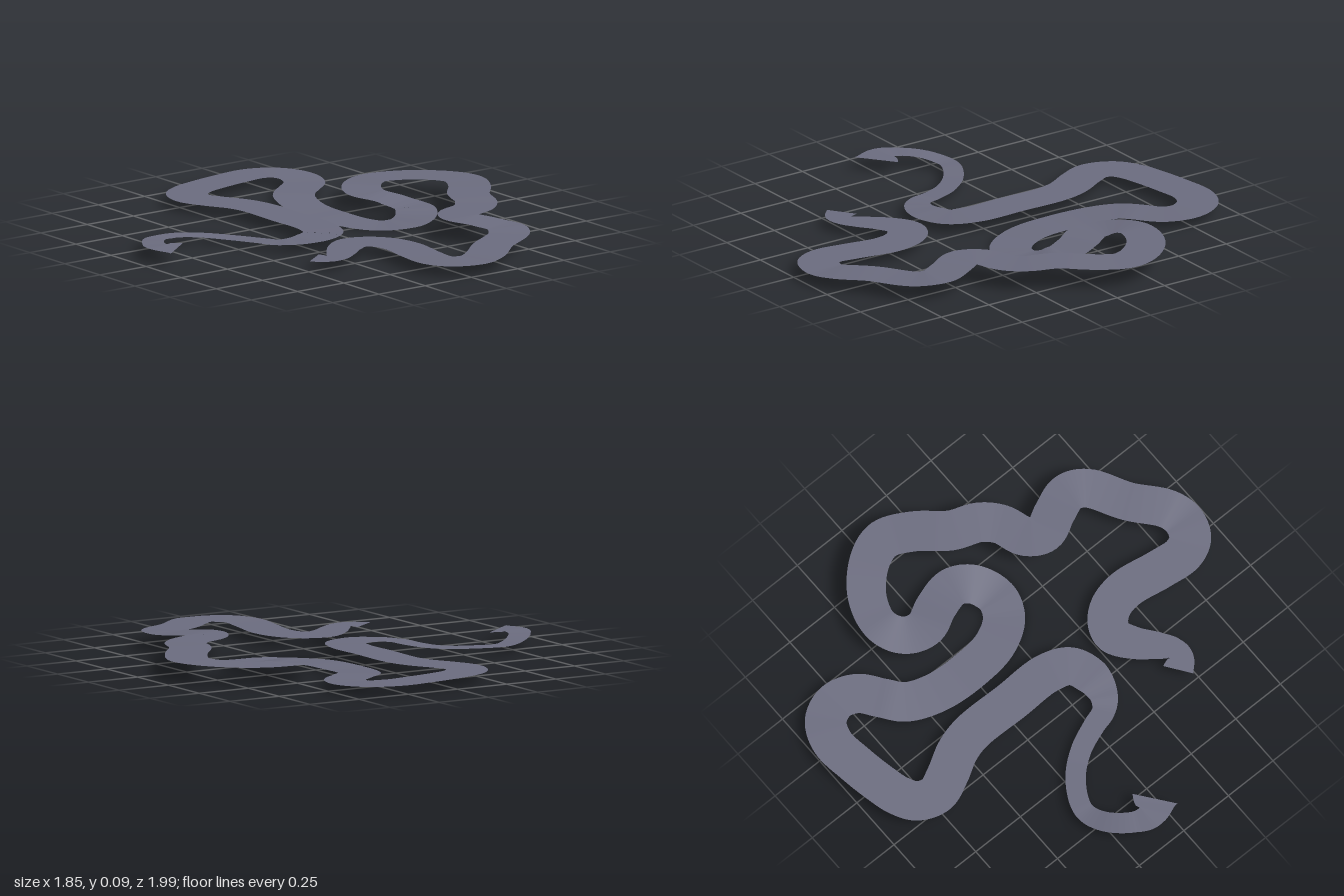
import * as THREE from 'three';

// Centre line of the road in plan, as [x, z]
const path = [
  // narrow hook
  [-.823, -.013], [-.868, -.075], [-.848, -.148], [-.76, -.245], [-.66, -.278], [-.53, -.215],
  [-.44, -.11], [-.39, .005], [-.365, .08], [-.31, .125], [-.215, .138], [-.12, .1],
  // long straight and back hairpin
  [-.08, 0], [-.08, -.2], [-.08, -.42], [-.105, -.52], [-.165, -.63], [-.2, -.72], [-.17, -.805],
  [-.1, -.85], [-.01, -.875], [.13, -.9], [.27, -.912], [.365, -.87], [.405, -.78], [.375, -.685],
  // low S bend
  [.29, -.615], [.215, -.55], [.165, -.42], [.153, -.24], [.175, -.08], [.245, .03], [.34, .065],
  [.44, .025], [.487, -.06], [.46, -.17], [.413, -.27], [.43, -.35], [.48, -.4], [.56, -.418],
  // high side
  [.69, -.37], [.8, -.255], [.83, -.155], [.775, -.035], [.675, .09], [.625, .21], [.56, .275],
  [.45, .32], [.41, .39], [.455, .49], [.49, .59], [.455, .67],
  // front hairpin and far end
  [.295, .77], [.16, .88], [.08, .9], [0, .87], [-.035, .8], [-.025, .68], [0, .51], [-.02, .41],
  [-.07, .35], [-.13, .332], [-.21, .375], [-.29, .45], [-.345, .495], [-.395, .492], [-.43, .445],
];

// Height and half width along the road, as [path index, y, half width]
const profile = [
  [0, .052, .1], [1, .054, .062], [2, .05, .048], [4, .03, .043], [6, .021, .045], [8, .028, .05],
  [9, .032, .062], [10, .036, .083], [12, .04, .091], [22, .04, .09], [26, .03, .09], [29, .01, .092],
  [31, 0, .091], [32, .003, .09], [34, .03, .09], [36, .058, .09], [39, .078, .08], [42, .083, .092],
  [44, .088, .092], [46, .083, .09], [48, .085, .09], [50, .07, .09], [52, .057, .088], [54, .045, .09],
  [58, .04, .091], [61, .04, .086], [62, .04, .075], [63, .04, .062], [64, .04, .048],
  [65, .04, .052], [66, .04, .068],
];

function profileAt(u) {
  let k = 1;
  while (k < profile.length - 1 && profile[k][0] < u) k++;
  const [a, b] = [profile[k - 1], profile[k]];
  const f = (u - a[0]) / (b[0] - a[0]);
  const s = f * f * (3 - 2 * f);
  return [a[1] + (b[1] - a[1]) * s, a[2] + (b[2] - a[2]) * f];
}

// Flat ribbon swept along the centre line
function roadGeometry(steps) {
  const curve = new THREE.CatmullRomCurve3(path.map(([x, z]) => new THREE.Vector3(x, 0, z)));
  const pos = [], nor = [], index = [];
  const centre = t => {
    const p = curve.getPoint(t);
    p.y = profileAt(t * (path.length - 1))[0];
    return p;
  };
  for (let i = 0; i <= steps; i++) {
    const t = i / steps;
    const p = centre(t), half = profileAt(t * (path.length - 1))[1];
    const dir = centre(Math.min(1, t + .001)).sub(centre(Math.max(0, t - .001))).normalize();
    const side = new THREE.Vector3(-dir.z, 0, dir.x).normalize();
    const up = new THREE.Vector3().crossVectors(side, dir).normalize();
    for (const s of [-1, 1]) {
      const q = p.clone().addScaledVector(side, s * half);
      pos.push(q.x, q.y, q.z);
      nor.push(up.x, Math.abs(up.y), up.z);
    }
  }
  // Every triangle faces up, also where tight inner corners fold over
  const addTriangle = (a, b, c) => {
    const [ax, az, bx, bz, cx, cz] = [a, b, c].flatMap(v => [pos[v * 3], pos[v * 3 + 2]]);
    const facesUp = (bz - az) * (cx - ax) - (bx - ax) * (cz - az) > 0;
    index.push(...(facesUp ? [a, b, c] : [a, c, b]));
  };
  for (let i = 0; i < steps; i++) {
    const a = i * 2;
    addTriangle(a, a + 1, a + 2);
    addTriangle(a + 1, a + 3, a + 2);
  }
  const geometry = new THREE.BufferGeometry();
  geometry.setAttribute('position', new THREE.Float32BufferAttribute(pos, 3));
  geometry.setAttribute('normal', new THREE.Float32BufferAttribute(nor, 3));
  geometry.setIndex(index);
  return geometry;
}

export function createModel() {
  const group = new THREE.Group();
  group.name = 'raceTrack';
  const asphalt = new THREE.MeshStandardMaterial({ color: 0x6c6d80, side: THREE.DoubleSide });
  asphalt.name = 'asphalt grey';
  const road = new THREE.Mesh(roadGeometry(528), asphalt);
  road.name = 'roadSurface';
  group.add(road);
  return group;
}
